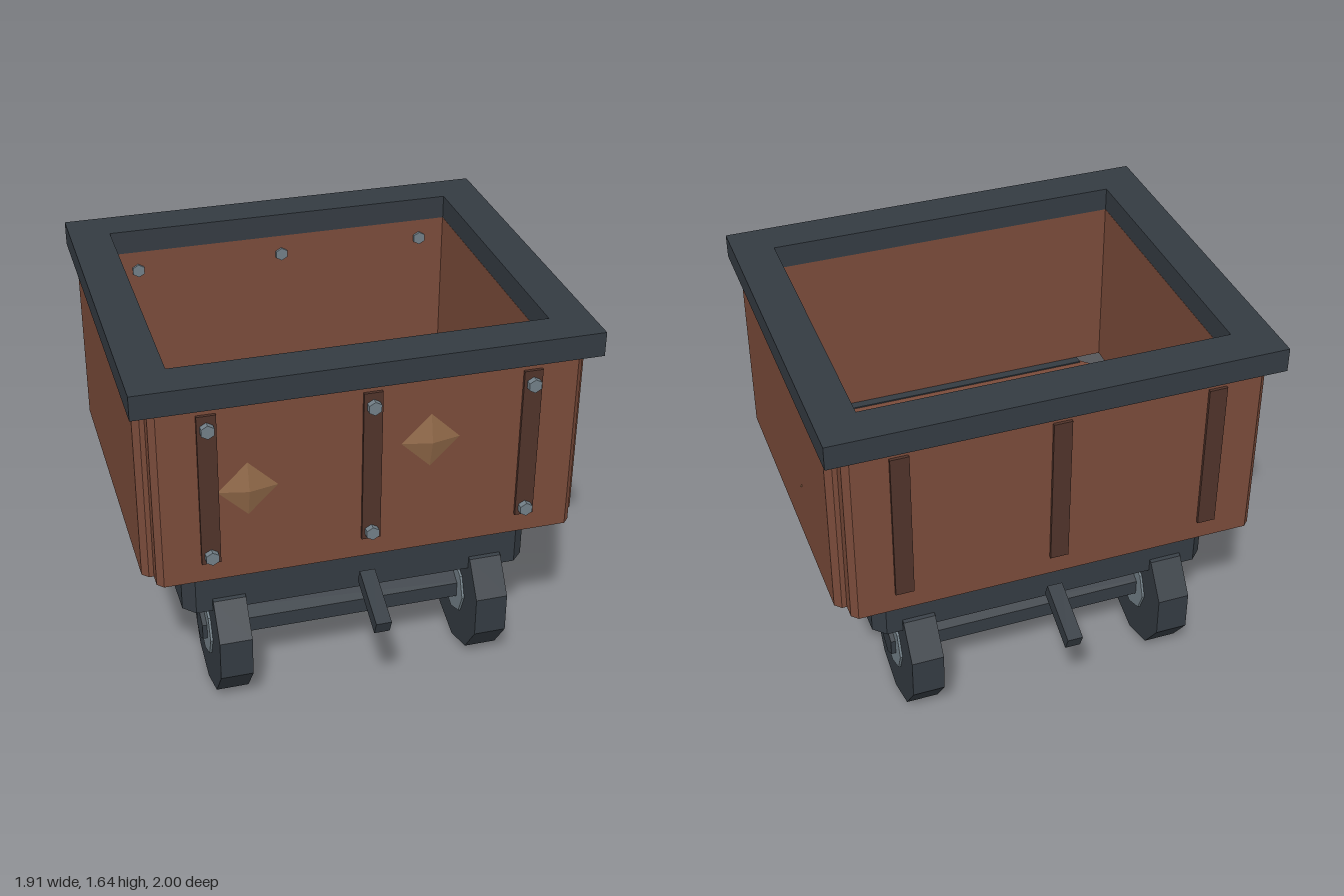
import * as THREE from 'three';

const mat = (color) => new THREE.MeshStandardMaterial({ color, flatShading: true });

export function createModel() {
  const group = new THREE.Group();
  const iron = mat(0x343b42), wood = mat(0x7a4b3a), strapWood = mat(0x50332a);
  const steel = mat(0x727f87), ore = mat(0x8f6848);

  const add = (name, geometry, material, x = 0, y = 0, z = 0) => {
    const mesh = new THREE.Mesh(geometry, material);
    mesh.name = name;
    mesh.position.set(x, y, z);
    group.add(mesh);
    return mesh;
  };

  // Upright block with chamfered vertical edges, base at y = 0
  const chamferBox = (w, h, d, c) => {
    const a = w / 2, b = d / 2;
    const shape = new THREE.Shape([
      [-a + c, -b], [a - c, -b], [a, -b + c], [a, b - c],
      [a - c, b], [-a + c, b], [-a, b - c], [-a, -b + c],
    ].map(([x, y]) => new THREE.Vector2(x, y)));
    return new THREE.ExtrudeGeometry(shape, { depth: h, bevelEnabled: false }).rotateX(-Math.PI / 2);
  };

  const rect = (Type, a, b) => new Type([
    new THREE.Vector2(-a, -b), new THREE.Vector2(a, -b),
    new THREE.Vector2(a, b), new THREE.Vector2(-a, b),
  ]);

  // Cylinder lying along x with a corner pointing up or down
  const xCylinder = (r, length, sides) =>
    new THREE.CylinderGeometry(r, r, length, sides, 1, false, Math.PI / 2).rotateZ(Math.PI / 2);

  // Rim frame
  const rimShape = rect(THREE.Shape, 0.955, 0.815);
  rimShape.holes.push(rect(THREE.Path, 0.78, 0.64));
  add('rim', new THREE.ExtrudeGeometry(rimShape, { depth: 0.105, bevelEnabled: false })
    .rotateX(-Math.PI / 2), iron, 0, 1.54, 0);

  // Chassis and floor
  add('chassis', chamferBox(1.51, 0.195, 1.28, 0.05), iron, 0, 0.47, 0);
  add('floor', chamferBox(1.41, 0.07, 1.245, 0.045), wood, 0, 0.665, 0);

  // Walls, floor strips, couplers and straps on opposite sides
  for (const s of [1, -1]) {
    add('endWall', chamferBox(1.766, 0.8, 0.15, 0.026), wood, 0, 0.74, s * 0.715);
    add('sideWall', chamferBox(0.15, 0.8, 1.41, 0.026), wood, s * 0.854, 0.74, 0);
    add('floorStrip', new THREE.BoxGeometry(1.325, 0.016, 0.09), iron, 0, 0.733, s * 0.645);

    const coupler = add('coupler', new THREE.BoxGeometry(0.066, 0.068, 0.26), iron, 0, 0.558, s * 0.867);
    coupler.rotation.x = s * 0.395;

    for (const x of [-0.663, 0, 0.663]) {
      add('strap', new THREE.BoxGeometry(0.078, 0.68, 0.03), strapWood, x, 1.17, s * 0.788);
      // Bolt heads: outside at the front, inside the tub at the back
      for (const y of [0.867, 1.452]) {
        add('bolt', new THREE.CylinderGeometry(0.03, 0.03, 0.03, 6).rotateX(Math.PI / 2),
          steel, x, y, s > 0 ? 0.814 : -0.643);
      }
    }
  }

  // Flattened ore chunks stuck in the walls
  for (const [x, y, z] of [[-0.505, 1.15, 0.79], [0.245, 1.25, 0.79], [0.815, 1.03, -0.243]]) {
    add('oreChunk', new THREE.OctahedronGeometry(1).scale(0.122, 0.12, z > 0 ? 0.027 : 0.012), ore, x, y, z);
  }

  // Axles, wheels and hubs
  for (const z of [0.485, -0.485]) {
    add('axle', xCylinder(0.07, 1.33, 6), iron, 0, 0.29, z);
    for (const s of [1, -1]) {
      add('wheel', xCylinder(0.29, 0.14, 10), iron, s * 0.565, 0.29, z);
      add('hub', xCylinder(0.13, 0.16, 8), steel, s * 0.565, 0.29, z);
    }
  }

  return group;
}
